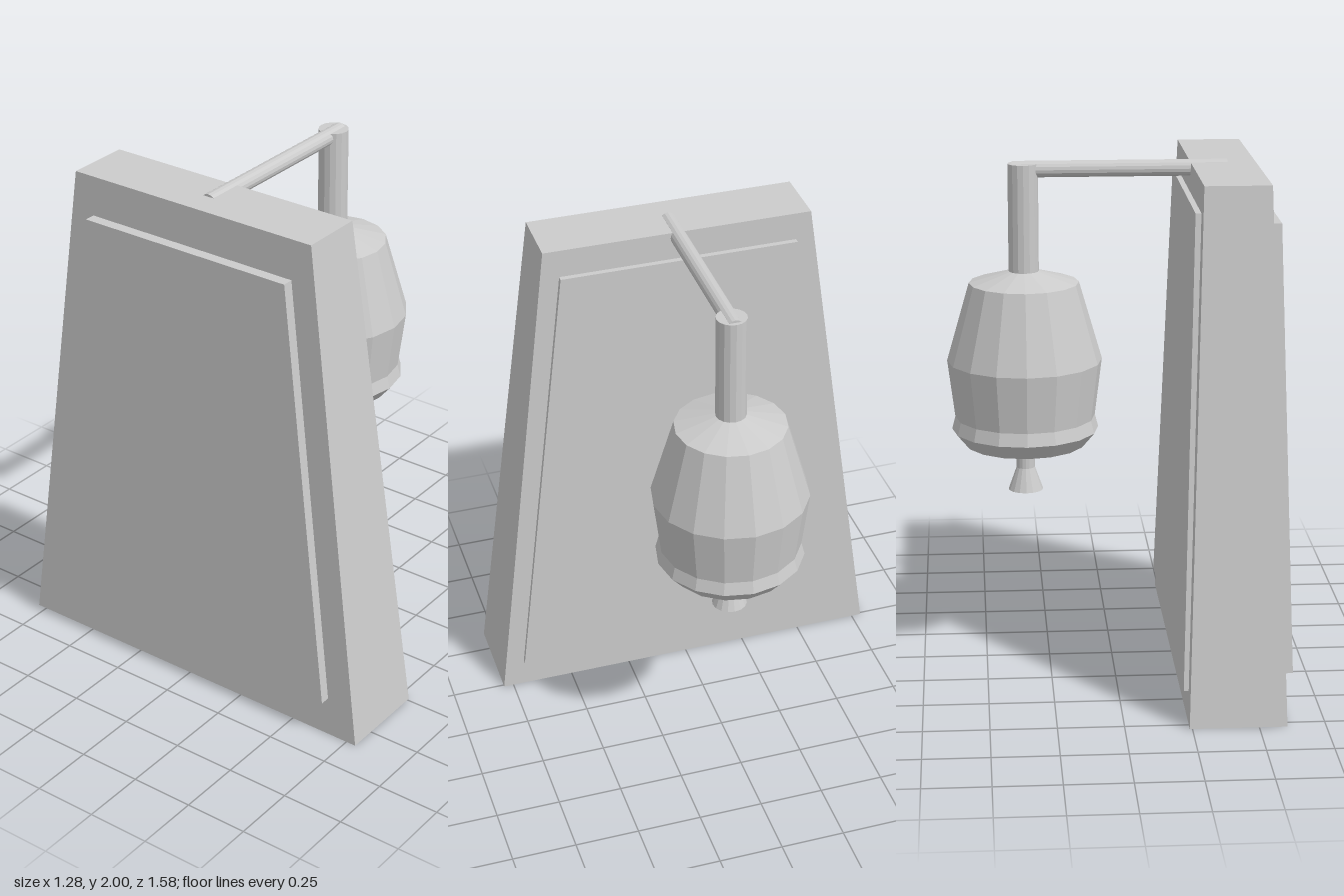
import * as THREE from 'three';

const material = new THREE.MeshStandardMaterial({ color: 0xcccccc, flatShading: true });
const openMaterial = new THREE.MeshStandardMaterial({ color: 0xcccccc, flatShading: true, side: THREE.DoubleSide });

function add(group, name, geometry, mat = material) {
  const mesh = new THREE.Mesh(geometry, mat);
  mesh.name = name;
  group.add(mesh);
  return mesh;
}

// Box whose lower and upper ends are { y, x: [min, max], z: half depth }
function taperedBox(bottom, top) {
  const geometry = new THREE.BoxGeometry(1, 1, 1);
  const p = geometry.attributes.position;
  for (let i = 0; i < p.count; i++) {
    const end = p.getY(i) > 0 ? top : bottom;
    p.setXYZ(i, end.x[p.getX(i) > 0 ? 1 : 0], end.y, Math.sign(p.getZ(i)) * end.z);
  }
  geometry.computeVertexNormals();
  return geometry;
}

function lathe(points, sides = 16) {
  return new THREE.LatheGeometry(points.map(([r, y]) => new THREE.Vector2(r, y)), sides);
}

export function createModel() {
  const model = new THREE.Group();
  model.name = 'hangingBell';

  // Tapered pillar with a raised panel on each broad side
  add(model, 'pillar', taperedBox(
    { y: 0, x: [-0.605, -0.24], z: 0.79 },
    { y: 1.99, x: [-0.548, -0.3], z: 0.53 }));
  add(model, 'rightPanel', taperedBox(
    { y: 0.16, x: [-0.64, -0.5], z: 0.66 },
    { y: 1.835, x: [-0.595, -0.5], z: 0.45 }));
  add(model, 'leftPanel', taperedBox(
    { y: 0.115, x: [-0.34, -0.225], z: 0.7 },
    { y: 1.88, x: [-0.34, -0.275], z: 0.47 }));

  // Arm set into the top of the pillar
  const arm = add(model, 'arm', new THREE.CylinderGeometry(0.032, 0.032, 0.82, 16));
  arm.rotation.z = -Math.PI / 2;
  arm.position.set(-0.03, 1.968, 0);

  // Hanger, open bell and clapper share one axis
  const bell = new THREE.Group();
  bell.name = 'bellAssembly';
  bell.position.x = 0.338;
  model.add(bell);

  const hanger = add(bell, 'hanger', new THREE.CylinderGeometry(0.058, 0.058, 0.44, 16));
  hanger.position.y = 1.77;

  add(bell, 'bellShell', lathe([
    [0.235, 0.89], [0.285, 0.95], [0.272, 1.0], [0.3, 1.225],
    [0.212, 1.53], [0.05, 1.577]
  ]), openMaterial);

  add(bell, 'clapper', lathe([
    [0, 0.7], [0.068, 0.7], [0.036, 0.79], [0.036, 1.56], [0, 1.56]
  ]));

  return model;
}
